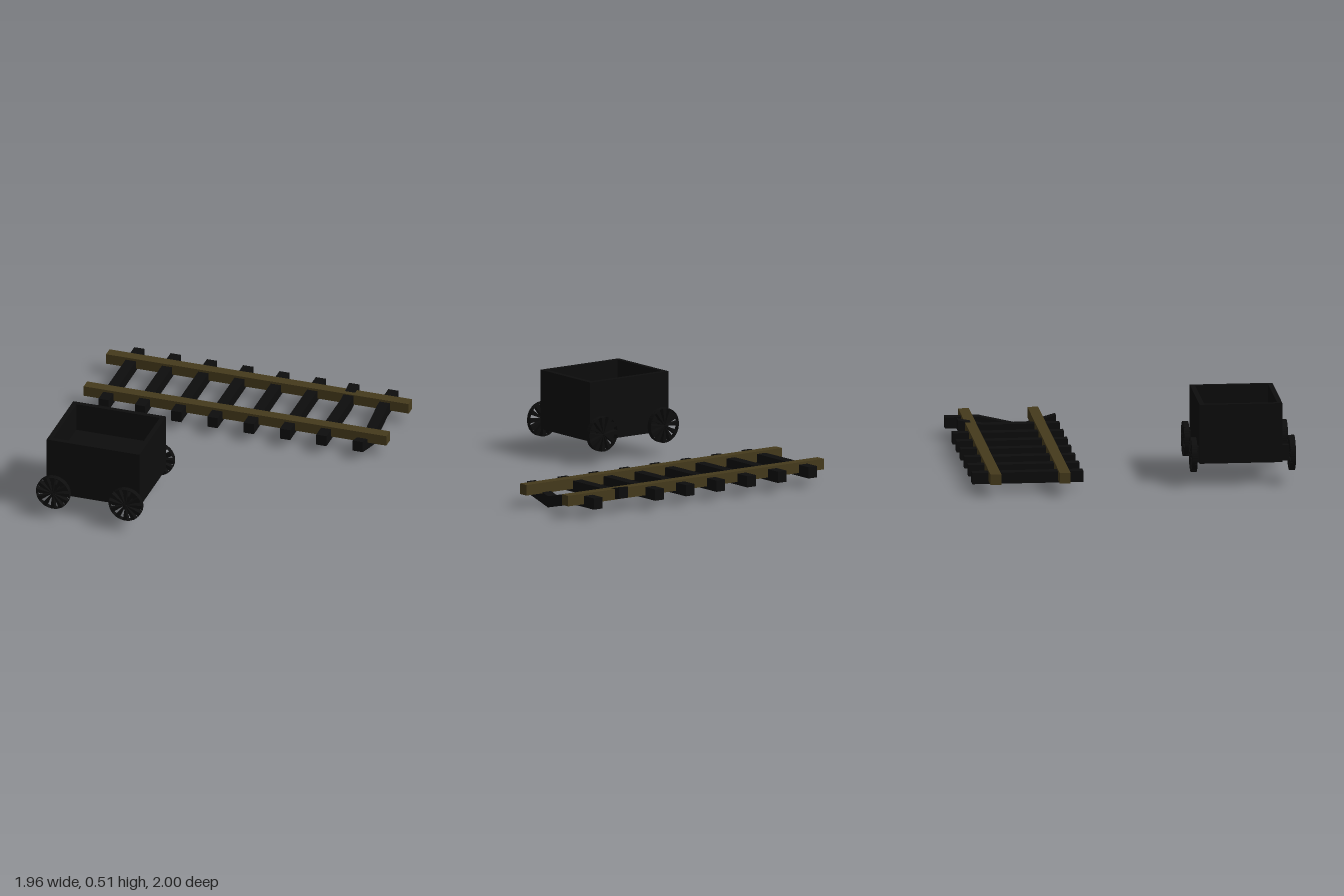
import * as THREE from 'three';

const iron = new THREE.MeshStandardMaterial({ color: 0x0d0d0d, flatShading: true });
const thinIron = new THREE.MeshStandardMaterial({ color: 0x0d0d0d, flatShading: true, side: THREE.DoubleSide });
const wood = new THREE.MeshStandardMaterial({ color: 0x453a1c, flatShading: true });

function add(parent, name, geometry, material, x = 0, y = 0, z = 0) {
  const mesh = new THREE.Mesh(geometry, material);
  mesh.name = name;
  mesh.position.set(x, y, z);
  parent.add(mesh);
  return mesh;
}

// Sleeper swept along -z through stations of [distance, bottom height]
function sleeperGeometry(stations, width = 0.066, height = 0.07) {
  const bottom = stations.map(([u, y]) => new THREE.Vector2(u, y));
  const top = stations.map(([u, y]) => new THREE.Vector2(u, y + height)).reverse();
  const geometry = new THREE.ExtrudeGeometry(new THREE.Shape([...bottom, ...top]), { depth: width, bevelEnabled: false });
  return geometry.translate(0, 0, -width / 2).rotateY(Math.PI / 2);
}

function createTrack() {
  const track = new THREE.Group();
  track.name = 'track';
  for (const z of [-0.867, -0.44]) add(track, 'rail', new THREE.BoxGeometry(1.96, 0.066, 0.066), wood, 0, 0.112, z);

  const straight = [[0.315, 0.06], [1, 0.06]];
  const raised = [[0.315, 0.06], [0.79, 0.06], [0.945, 0.091]];
  const sagging = [[0.315, 0.06], [0.53, 0], [0.79, 0.06], [1, 0.06]];
  for (let i = 0; i < 8; i++) {
    const stations = i === 6 ? raised : i === 7 ? sagging : straight;
    add(track, 'sleeper', sleeperGeometry(stations), iron, -0.82 + i * 0.235);
  }
  return track;
}

// Wheel with wedge spokes inside a thin rim
function createWheel(radius = 0.108, depth = 0.034, spokes = 12) {
  const wheel = new THREE.Group();
  wheel.name = 'wheel';
  const half = 0.135;
  const wedge = new THREE.Shape([
    new THREE.Vector2(0, 0),
    new THREE.Vector2(radius * Math.cos(half), -radius * Math.sin(half)),
    new THREE.Vector2(radius * Math.cos(half), radius * Math.sin(half)),
  ]);
  const spoke = new THREE.ExtrudeGeometry(wedge, { depth, bevelEnabled: false }).translate(0, 0, -depth / 2);
  for (let i = 0; i < spokes; i++) {
    add(wheel, 'spoke', spoke, iron).rotation.z = (i / spokes) * Math.PI * 2;
  }
  const rim = new THREE.CylinderGeometry(radius, radius, depth, spokes * 2, 1, true).rotateX(Math.PI / 2);
  add(wheel, 'rim', rim, thinIron);
  return wheel;
}

function createCart() {
  const cart = new THREE.Group();
  cart.name = 'cart';
  const w = 0.6, d = 0.51, wall = 0.03, cx = -0.47, cz = 0.665;
  const base = 0.14, floor = 0.33, top = 0.51;

  // Body with an open box on top
  const outline = new THREE.Shape([[-1, -1], [1, -1], [1, 1], [-1, 1]].map(([a, b]) => new THREE.Vector2(a * w / 2, b * d / 2)));
  outline.holes.push(new THREE.Path([[-1, -1], [-1, 1], [1, 1], [1, -1]].map(
    ([a, b]) => new THREE.Vector2(a * (w / 2 - wall), b * (d / 2 - wall)))));
  const walls = new THREE.ExtrudeGeometry(outline, { depth: top - base, bevelEnabled: false }).rotateX(-Math.PI / 2);
  add(cart, 'walls', walls, iron, cx, base, cz);
  add(cart, 'floor', new THREE.BoxGeometry(w - 2 * wall, floor - base, d - 2 * wall), iron, cx, (base + floor) / 2, cz);

  // Axles and wheels
  for (const x of [-0.705, -0.235]) {
    add(cart, 'axle', new THREE.BoxGeometry(0.042, 0.097, 0.59), iron, x, 0.188, 0.68);
    for (const z of [0.377, 0.983]) {
      const wheel = createWheel();
      wheel.position.set(x, 0.186, z);
      cart.add(wheel);
    }
  }
  return cart;
}

export function createModel() {
  const model = new THREE.Group();
  model.name = 'cartAndTrack';
  model.add(createTrack(), createCart());
  return model;
}
